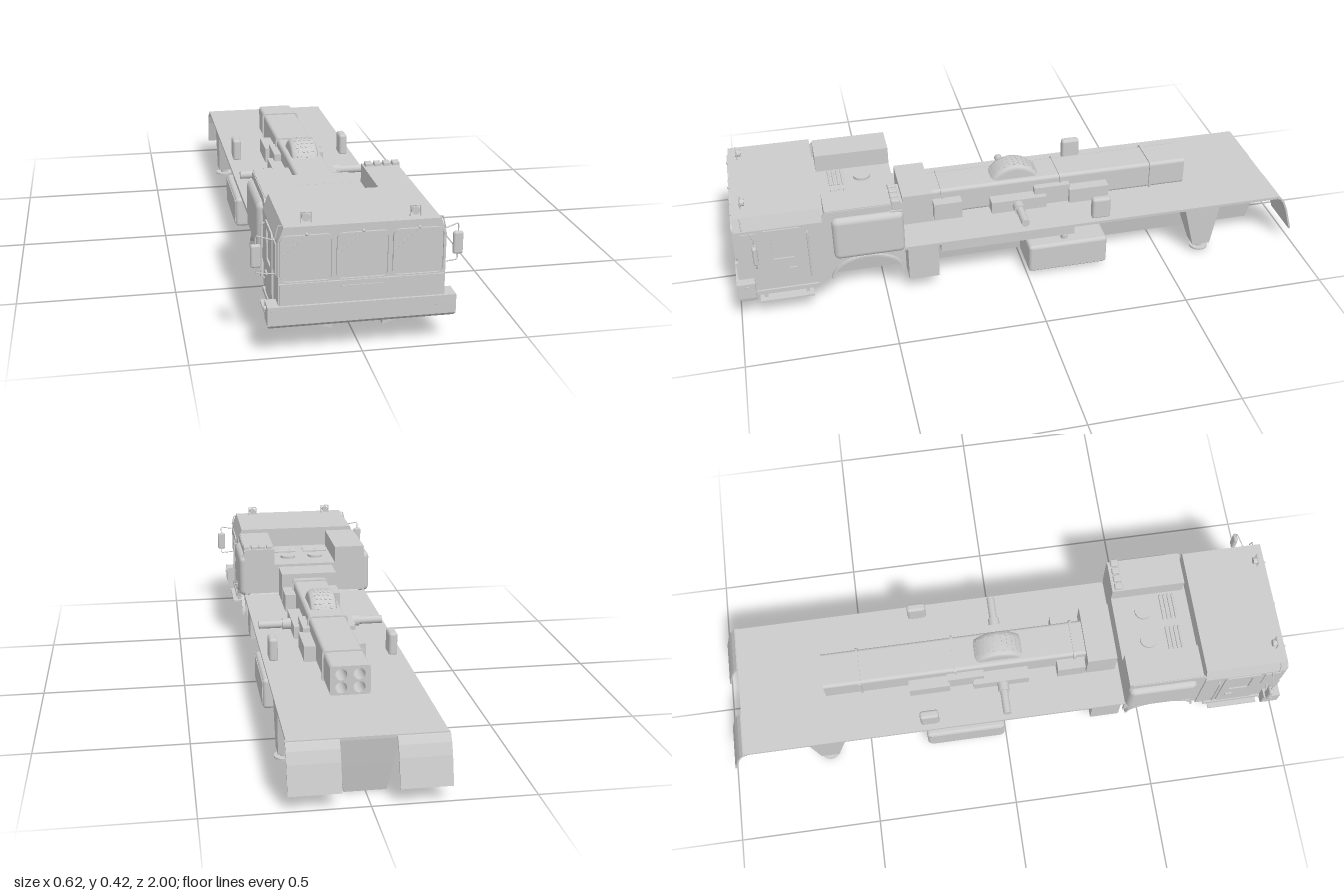
import * as THREE from 'three';
import { RoundedBoxGeometry } from 'three/addons/geometries/RoundedBoxGeometry.js';

const mat = new THREE.MeshStandardMaterial({ color: 0xcccccc, side: THREE.DoubleSide });

export function createModel() {
  const root = new THREE.Group();
  const V = (x, y, z) => new THREE.Vector3(x, y, z);
  const add = (name, geo, x = 0, y = 0, z = 0) => {
    const m = new THREE.Mesh(geo, mat);
    m.name = name;
    m.position.set(x, y, z);
    root.add(m);
    return m;
  };
  // Box from its limits; r rounds the edges
  const box = (name, xa, xb, y0, y1, z0, z1, r = 0) => {
    const d = [Math.abs(xb - xa), y1 - y0, z1 - z0];
    const g = r ? new RoundedBoxGeometry(...d, 3, r) : new THREE.BoxGeometry(...d);
    return add(name, g, (xa + xb) / 2, (y0 + y1) / 2, (z0 + z1) / 2);
  };
  // Tapered block: b and t are [xa, xb, z0, z1] at the bottom and top
  const taper = (name, b, y0, t, y1) => {
    const g = new THREE.BoxGeometry(1, 1, 1), p = g.attributes.position;
    const sort = (a) => [Math.min(a[0], a[1]), Math.max(a[0], a[1]), a[2], a[3]];
    for (let i = 0; i < p.count; i++) {
      const up = p.getY(i) > 0, r = sort(up ? t : b);
      p.setXYZ(i, r[p.getX(i) > 0 ? 1 : 0], up ? y1 : y0, r[p.getZ(i) > 0 ? 3 : 2]);
    }
    g.computeVertexNormals();
    return add(name, g);
  };
  const poly = (pts) => new THREE.Shape(pts.map(([x, y]) => new THREE.Vector2(x, y)));
  const extrude = (shape, depth) => new THREE.ExtrudeGeometry(shape, { depth, bevelEnabled: false, curveSegments: 12 });
  // Side profile of [z, y] points, extruded from xa to xb
  const side = (name, pts, xa, xb) =>
    add(name, extrude(poly(pts.map(([z, y]) => [-z, y])), Math.abs(xb - xa)).rotateY(Math.PI / 2), Math.min(xa, xb));
  const roundRect = (w, h, r, cls = THREE.Shape) => {
    const s = new cls(), a = w / 2 - r, b = h / 2 - r, q = Math.PI / 2;
    [[a, b], [-a, b], [-a, -b], [a, -b]].forEach(([x, y], i) => s.absarc(x, y, r, i * q, (i + 1) * q, false));
    s.closePath();
    return s;
  };
  const cyl = (name, r, h, x, y, z, axis = 'y', n = 24) => {
    const g = new THREE.CylinderGeometry(r, r, h, n);
    if (axis === 'x') g.rotateZ(Math.PI / 2);
    if (axis === 'z') g.rotateX(Math.PI / 2);
    return add(name, g, x, y, z);
  };
  const tube = (name, pts, r) => {
    const path = new THREE.CurvePath();
    for (let i = 1; i < pts.length; i++) path.add(new THREE.LineCurve3(V(...pts[i - 1]), V(...pts[i])));
    return add(name, new THREE.TubeGeometry(path, pts.length * 6, r, 8));
  };
  const both = (fn) => [1, -1].forEach(fn);

  // Hull beam with a sloped nose, and the deck on it
  taper('hullLower', [-0.065, 0.065, -0.9, 0.78], 0, [-0.08, 0.08, -0.915, 0.965], 0.09);
  taper('hullUpper', [-0.08, 0.08, -0.915, 0.72], 0.09, [-0.095, 0.095, -0.93, 0.72], 0.187);
  box('deck', -0.24, 0.24, 0.185, 0.195, -0.94, 0.43);

  // Cab
  const cab = poly([[-0.243, 0.1], [0.243, 0.1], [0.243, 0.345], [0.226, 0.39], [-0.226, 0.39], [-0.243, 0.345]]);
  add('cabBody', extrude(cab, 0.285), 0, 0, 0.7);
  box('frontPanel', -0.24, 0.24, 0.155, 0.222, 0.98, 0.992);
  box('frontPlate', -0.062, 0.06, 0.168, 0.208, 0.99, 0.995);
  box('bumper', -0.275, 0.275, 0.1, 0.157, 0.94, 1);
  taper('bumperLip', [-0.272, 0.272, 0.94, 0.985], 0.087, [-0.275, 0.275, 0.94, 1], 0.1);
  for (const x of [-0.162, 0, 0.162]) {
    const frame = roundRect(0.151, 0.142, 0.02);
    frame.holes.push(roundRect(0.143, 0.134, 0.017, THREE.Path));
    add('windshieldFrame', extrude(frame, 0.009), x, 0.295, 0.983);
    add('windshield', extrude(roundRect(0.143, 0.134, 0.017), 0.003), x, 0.295, 0.983);
    add('wiperPivot', new THREE.SphereGeometry(0.005, 12, 8), x, 0.369, 0.99);
    tube('wiper', [[x, 0.369, 0.991], [x - 0.072, 0.307, 0.993]], 0.0014);
  }
  both((s) => {
    // Lamps
    box('headlightHousing', s * 0.216, s * 0.265, 0.105, 0.153, 0.995, 1);
    cyl('headlight', 0.015, 0.006, s * 0.232, 0.13, 0.998, 'z');
    cyl('turnSignal', 0.009, 0.006, s * 0.256, 0.142, 0.998, 'z');
    cyl('sideMarker', 0.007, 0.008, s * 0.277, 0.142, 0.965, 'x', 12);
    cyl('roofLamp', 0.012, 0.018, s * 0.158, 0.406, 0.95, 'z');
    tube('roofLampGuard', [[s * 0.158 - 0.015, 0.39, 0.955], [s * 0.158 - 0.015, 0.421, 0.955],
      [s * 0.158 + 0.015, 0.421, 0.955], [s * 0.158 + 0.015, 0.39, 0.955]], 0.002);
    // Mirrors
    add('mirror', new RoundedBoxGeometry(0.03, 0.07, 0.016, 3, 0.007), s * 0.297, 0.287, 0.925);
    tube('mirrorArm', [[s * 0.24, 0.335, 0.94], [s * 0.297, 0.348, 0.925], [s * 0.297, 0.234, 0.925], [s * 0.24, 0.234, 0.94]], 0.002);
    tube('roofGrip', [[s * 0.225, 0.386, 0.96], [s * 0.238, 0.386, 0.96], [s * 0.247, 0.35, 0.96]], 0.002);
    // Doors
    const door = roundRect(0.13, 0.23, 0.012);
    const win = new THREE.Path([[-0.035, 0], [0.035, 0], [0.035, 0.095], [-0.035, 0.095]].map((p) => new THREE.Vector2(...p)));
    door.holes.push(win);
    add('door', extrude(door, 0.007).rotateY(Math.PI / 2), s > 0 ? 0.241 : -0.248, 0.225, 0.837);
    box('doorHandle', s * 0.246, s * 0.253, 0.18, 0.187, 0.795, 0.82);
    side('quarterWindow', [[0.915, 0.24], [0.965, 0.24], [0.968, 0.335], [0.915, 0.335]], s * 0.24, s * 0.247);
    tube('handrail', [[s * 0.243, 0.32, 0.752], [s * 0.256, 0.315, 0.752], [s * 0.256, 0.145, 0.752], [s * 0.243, 0.14, 0.752]], 0.003);
    // Steps and sloped belly plates
    box('step', s * 0.225, s * 0.262, 0.064, 0.07, 0.75, 0.93);
    for (const z of [0.77, 0.91]) box('stepBracket', s * 0.23, s * 0.242, 0.065, 0.102, z - 0.006, z + 0.006);
    box('sill', s * 0.215, s * 0.25, 0.09, 0.104, 0.73, 0.94);
    const belly = poly([[s * 0.21, 0.088], [s * 0.075, 0.045], [s * 0.075, 0.102], [s * 0.21, 0.102]]);
    add('bellyPlate', extrude(belly, 0.19), 0, 0, 0.74);
  });

  // Engine housing with raised side blocks
  box('engineDeck', -0.235, 0.235, 0.2, 0.315, 0.43, 0.7);
  both((s) => {
    box('sideBlock', s * 0.12, s * 0.235, 0.3, 0.378, 0.43, 0.69);
    const arch = [];
    for (let i = 0; i <= 16; i++) {
      const a = (i / 16) * Math.PI;
      arch.push([0.56 + 0.118 * Math.cos(a), 0.112 + 0.072 * Math.sin(a)]);
    }
    side('archPanel', [[0.7, 0.11], [0.7, 0.36], [0.685, 0.375], [0.44, 0.375], [0.43, 0.36], [0.43, 0.11], ...arch.slice().reverse()], s * 0.228, s * 0.238);
    const rim = arch.map(([z, y]) => [0.56 + (z - 0.56) * 1.06, 0.112 + (y - 0.112) * 1.09]);
    side('wheelArch', [...arch, ...rim.reverse()], s * 0.09, s * 0.25);
    // Bulged side cover
    const cover = new RoundedBoxGeometry(0.05, 0.16, 0.24, 4, 0.02);
    add('sideCover', cover, s * 0.233, 0.27, 0.55);
    cyl('fillerCap', 0.03, 0.012, s * 0.055, 0.318, 0.535);
    for (let i = 0; i < 4; i++) box('louver', s * 0.015, s * 0.11, 0.313, 0.322, 0.6 + i * 0.015, 0.608 + i * 0.015, 0.003);
  });
  for (let i = 0; i < 4; i++) box('lampCluster', 0.126 + i * 0.03, 0.15 + i * 0.03, 0.352, 0.39, 0.44, 0.468, 0.004);
  box('clusterBar', 0.12, 0.245, 0.346, 0.354, 0.434, 0.472);

  // Central casing with straps and a four-tube rear end
  add('casing', extrude(roundRect(0.13, 0.1, 0.012), 0.81), 0, 0.242, -0.5);
  const tail = roundRect(0.13, 0.1, 0.012);
  both((i) => both((j) => {
    const hole = new THREE.Path();
    hole.absarc(i * 0.029, j * 0.022, 0.019, 0, Math.PI * 2, true);
    tail.holes.push(hole);
  }));
  add('casingTail', extrude(tail, 0.13), 0, 0.242, -0.63);
  for (const z of [0.27, -0.16, -0.5]) {
    const strap = roundRect(0.142, 0.11, 0.014);
    strap.holes.push(roundRect(0.128, 0.098, 0.011, THREE.Path));
    add('strap', extrude(strap, 0.008), 0, 0.242, z - 0.004);
  }
  box('frontCabinet', -0.105, 0.105, 0.195, 0.31, 0.31, 0.415);
  box('frontSaddle', -0.105, 0.105, 0.195, 0.26, 0.205, 0.305);
  box('rearSaddle', -0.105, 0.105, 0.195, 0.25, -0.33, -0.185);

  // Upright wheel in the casing, with tread lugs
  const profile = [[0, -0.045], [0.085, -0.048], [0.095, -0.042], [0.1, -0.025], [0.1, 0.025], [0.095, 0.042], [0.085, 0.048], [0, 0.045]];
  const wheel = new THREE.LatheGeometry(profile.map((p) => new THREE.Vector2(...p)), 48).rotateZ(-Math.PI / 2);
  add('wheel', wheel, 0, 0.24, 0);
  for (let i = 0; i <= 10; i++) for (let j = 0; j < 4; j++) {
    const a = Math.PI * (0.2 + 0.06 * i);
    const lug = box('treadLug', -0.004, 0.004, -0.002, 0.002, -0.004, 0.004);
    lug.position.set(-0.026 + j * 0.016 + (i % 2) * 0.006, 0.24 + 0.1 * Math.sin(a), 0.1 * Math.cos(a));
    lug.rotation.x = Math.PI / 2 - a;
  }

  both((s) => {
    // Cross axle and its housings
    box('axleBlock', s * 0.06, s * 0.11, 0.195, 0.24, -0.1, 0.1);
    box('axleCabinet', s * 0.06, s * 0.09, 0.195, 0.265, -0.19, -0.06);
    cyl('axle', 0.014, 0.16, s * 0.145, 0.217, 0.005, 'x');
    cyl('axleCollar', 0.02, 0.03, s * 0.125, 0.217, 0.005, 'x');
    // Upright deck posts
    box('deckPost', s * 0.19, s * 0.22, 0.19, 0.272, -0.305, -0.238, 0.01);
    // Under-deck boxes, rails and tanks
    box('lowerCabinet', s * 0.09, s * 0.23, 0.05, 0.19, 0.315, 0.42);
    box('sideRail', s * 0.19, s * 0.23, 0.15, 0.187, -0.17, 0.305);
    box('tank', s * 0.086, s * 0.242, 0.014, 0.122, -0.29, -0.005, 0.012);
    add('tankFrame', extrude(roundRect(0.265, 0.09, 0.01), 0.004).rotateY(Math.PI / 2), s > 0 ? 0.24 : -0.244, 0.068, -0.148);
    cyl('tankCap', 0.012, 0.016, s * 0.205, 0.128, -0.14);
    // Rear support legs with round feet
    taper('supportLeg', [s * 0.18, s * 0.236, -0.685, -0.62], 0.03, [s * 0.1, s * 0.238, -0.71, -0.58], 0.187);
    cyl('footStem', 0.014, 0.03, s * 0.212, 0.024, -0.652);
    cyl('foot', 0.033, 0.006, s * 0.212, 0.011, -0.652);
    // Curved rear flaps
    side('rearFlap', [[-0.93, 0.195], [-0.945, 0.19], [-0.96, 0.17], [-0.975, 0.135], [-1, 0.048],
      [-0.994, 0.046], [-0.969, 0.133], [-0.955, 0.166], [-0.942, 0.184], [-0.93, 0.187]], s * 0.085, s * 0.243);
  });
  return root;
}
